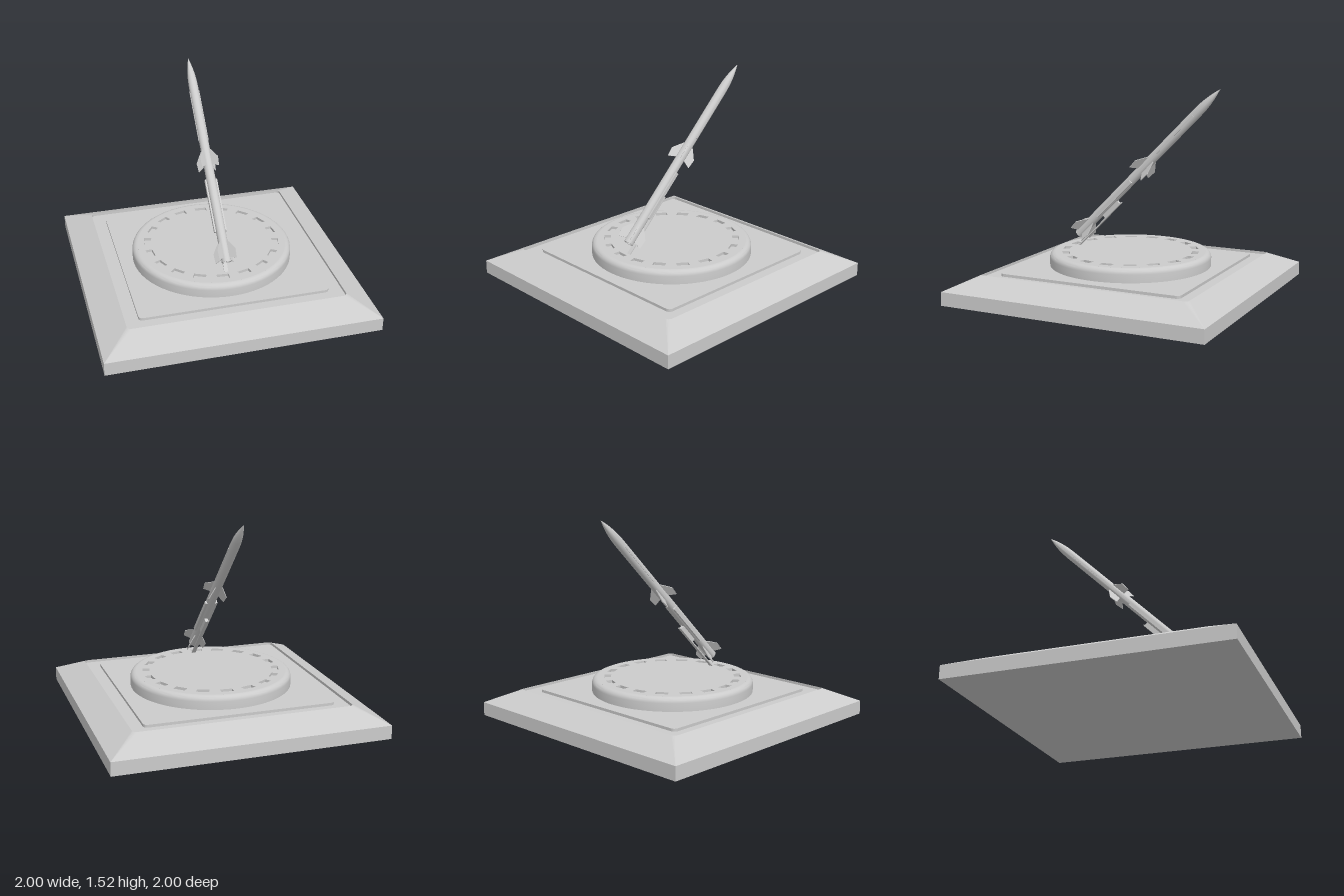
import * as THREE from 'three';
import { toCreasedNormals } from 'three/addons/utils/BufferGeometryUtils.js';

const grey = new THREE.MeshStandardMaterial({ color: 0xcccccc, side: THREE.DoubleSide });

function add(parent, name, geometry, x = 0, y = 0, z = 0) {
  const mesh = new THREE.Mesh(geometry, grey);
  mesh.name = name;
  mesh.position.set(x, y, z);
  parent.add(mesh);
  return mesh;
}

const box = (w, h, d) => new THREE.BoxGeometry(w, h, d);
const lathe = (pts, segments) =>
  toCreasedNormals(new THREE.LatheGeometry(pts.map(p => new THREE.Vector2(...p)), segments), 0.5);

// Outline of a square with rounded corners, counterclockwise
function roundedSquare(half, r, steps = 4) {
  const pts = [];
  for (let c = 0; c < 4; c++) {
    const mid = Math.PI / 4 + c * Math.PI / 2;
    const cx = Math.sign(Math.cos(mid)) * (half - r), cy = Math.sign(Math.sin(mid)) * (half - r);
    for (let i = 0; i <= steps; i++) {
      const a = c * Math.PI / 2 + i / steps * Math.PI / 2;
      pts.push(new THREE.Vector2(cx + r * Math.cos(a), cy + r * Math.sin(a)));
    }
  }
  return pts;
}

// Skin over square rings given as [half width, corner radius, height]
function loftSquares(rings) {
  const loops = rings.map(([half, r, y]) =>
    roundedSquare(half, r).map(p => new THREE.Vector3(p.x, y, -p.y)));
  const pos = [];
  const tri = (a, b, c) => {
    const area = b.clone().sub(a).cross(c.clone().sub(a)).length();
    if (area > 1e-9) for (const v of [a, b, c]) pos.push(v.x, v.y, v.z);
  };
  for (let i = 0; i + 1 < loops.length; i++) {
    const lo = loops[i], hi = loops[i + 1], n = lo.length;
    for (let j = 0; j < n; j++) {
      const k = (j + 1) % n;
      tri(lo[j], lo[k], hi[k]);
      tri(lo[j], hi[k], hi[j]);
    }
  }
  const g = new THREE.BufferGeometry();
  g.setAttribute('position', new THREE.Float32BufferAttribute(pos, 3));
  g.computeVertexNormals();
  return g;
}

function createBase() {
  const base = new THREE.Group();
  base.name = 'base';
  // Sloped plinth with a recessed top
  add(base, 'plinth', loftSquares([
    [0, 0, 0], [1, 0, 0], [1, 0, 0.1], [0.8, 0.03, 0.2], [0.8, 0.03, 0.18], [0, 0, 0.18],
  ]));
  // Raised square panel inside the recess
  const panel = new THREE.ExtrudeGeometry(new THREE.Shape(roundedSquare(0.7, 0.03)),
    { depth: 0.02, bevelEnabled: false });
  add(base, 'topPanel', panel.rotateX(-Math.PI / 2), 0, 0.18, 0);
  return base;
}

function createTurntable() {
  const table = new THREE.Group();
  table.name = 'turntable';
  // Rim with a rounded upper edge
  const r = 0.04, profile = [[0.6, 0.2]];
  for (let i = 0; i <= 6; i++) {
    const a = i / 6 * Math.PI / 2;
    profile.push([0.56 + r * Math.cos(a), 0.26 + r * Math.sin(a)]);
  }
  add(table, 'turntableRim', lathe(profile, 64));
  // Top plate pierced by a ring of slots
  const top = new THREE.Shape().absarc(0, 0, 0.56, 0, Math.PI * 2);
  for (let i = 0; i < 18; i++) {
    const a = THREE.MathUtils.degToRad(4.5 + 20 * i);
    const corners = [[-0.045, -0.025], [-0.045, 0.025], [0.045, 0.025], [0.045, -0.025]];
    top.holes.push(new THREE.Path(corners.map(([t, d]) => new THREE.Vector2(
      (0.483 + d) * Math.sin(a) + t * Math.cos(a),
      (0.483 + d) * Math.cos(a) - t * Math.sin(a)))));
  }
  const plate = new THREE.ExtrudeGeometry(top, { depth: 0.02, bevelEnabled: false, curveSegments: 64 });
  add(table, 'slottedPlate', plate.rotateX(-Math.PI / 2), 0, 0.28, 0);
  add(table, 'slotFloor', new THREE.CircleGeometry(0.56, 64).rotateX(-Math.PI / 2), 0, 0.28, 0);
  return table;
}

// Four swept fins set in an X; outline as [radius, distance along the axis]
function addFins(parent, name, outline) {
  const shape = new THREE.Shape(outline.map(p => new THREE.Vector2(...p)));
  for (let i = 0; i < 4; i++) {
    const g = new THREE.ExtrudeGeometry(shape, { depth: 0.006, bevelEnabled: false });
    add(parent, name, g.translate(0, 0, -0.003)).rotation.y = Math.PI / 4 + i * Math.PI / 2;
  }
}

function createRocket() {
  const rocket = new THREE.Group();
  rocket.name = 'rocket';
  // Hollow tail, straight tube and pointed nose
  add(rocket, 'body', lathe([
    [0, 0.05], [0.018, 0.05], [0.027, 0], [0.035, 0], [0.035, 1.36], [0.033, 1.42],
    [0.028, 1.47], [0.02, 1.52], [0.011, 1.56], [0, 1.6],
  ], 24));
  addFins(rocket, 'tailFin', [[0.03, 0.03], [0.092, 0.01], [0.096, 0.08], [0.06, 0.13], [0.03, 0.16]]);
  addFins(rocket, 'midWing', [[0.03, 0.74], [0.09, 0.71], [0.096, 0.78], [0.06, 0.83], [0.03, 0.87]]);
  // Side strakes along the tube
  for (const side of [-1, 1]) {
    add(rocket, 'lowerStrake', box(0.02, 0.4, 0.026), side * 0.036, 0.43, -0.01);
    add(rocket, 'upperStrake', box(0.008, 0.4, 0.01), side * 0.034, 1.13, 0);
  }
  // Launch rail under the tube and the shoe that joins them
  add(rocket, 'launchRail', box(0.03, 0.5, 0.008), 0, 0.19, -0.064);
  add(rocket, 'railShoe', box(0.024, 0.17, 0.036), 0, 0.345, -0.045);
  rocket.rotation.x = -Math.PI / 4;
  rocket.position.set(0, 0.385, 0.435);
  return rocket;
}

export function createModel() {
  const model = new THREE.Group();
  model.name = 'rocketOnLauncher';
  model.add(createBase(), createTurntable(), createRocket());
  return model;
}
